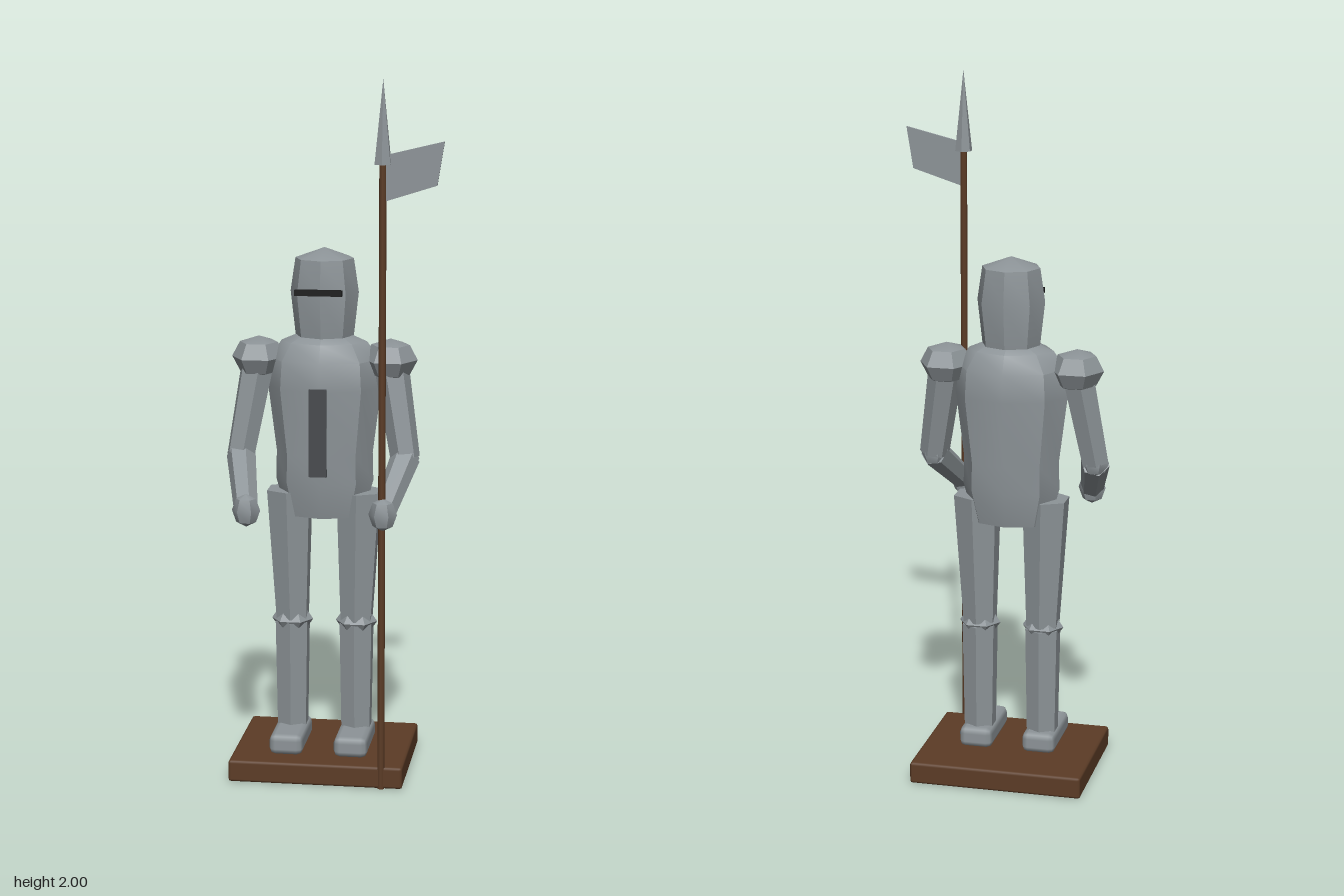
import * as THREE from 'three';
import { toCreasedNormals } from 'three/addons/utils/BufferGeometryUtils.js';
import { RoundedBoxGeometry } from 'three/addons/geometries/RoundedBoxGeometry.js';

const material = (name, color, side = THREE.FrontSide) => {
  const m = new THREE.MeshStandardMaterial({ color, side });
  m.name = name;
  return m;
};

export function createModel() {
  const steel = material('steel', 0x8d9498);
  const wood = material('wood', 0x5c3c26);
  const darkSteel = material('darkSteel', 0x484b4e);
  const black = material('black', 0x1b1b1b);

  const CX = -0.04; // centre line of the figure
  const CZ = -0.018;
  const model = new THREE.Group();
  model.name = 'armoredGuard';

  const add = (name, geometry, mat, x = 0, y = 0, z = 0, parent = model) => {
    const mesh = new THREE.Mesh(geometry, mat);
    mesh.name = name;
    mesh.position.set(x, y, z);
    parent.add(mesh);
    return mesh;
  };
  const crease = (g) => toCreasedNormals(g, 0.7);
  // Eight-sided turned shape, squashed front to back
  const turned = (points, depth) => crease(
    new THREE.LatheGeometry(points.map(([r, y]) => new THREE.Vector2(r, y)), 8).scale(1, 1, depth));
  // Six-sided faceted ball
  const ball = (rx, ry, rz, rows = 4) => crease(new THREE.SphereGeometry(1, 6, rows).scale(rx, ry, rz));
  // Tapered six-sided limb between two points
  const limb = (name, from, to, r0, r1, parent) => {
    const a = new THREE.Vector3(...from), b = new THREE.Vector3(...to);
    const dir = b.clone().sub(a);
    const mid = a.clone().add(b).multiplyScalar(0.5);
    const mesh = add(name, crease(new THREE.CylinderGeometry(r1, r0, dir.length(), 6)), steel,
      mid.x, mid.y, mid.z, parent);
    mesh.quaternion.setFromUnitVectors(new THREE.Vector3(0, 1, 0), dir.normalize());
  };

  // Base
  add('base', new RoundedBoxGeometry(0.5, 0.063, 0.415, 1, 0.008), wood, CX, 0.0315, -0.018);

  // Torso and breastplate strip
  add('torso', turned([[0, 0.745], [0.113, 0.75], [0.14, 0.85], [0.138, 0.93], [0.162, 1.12],
    [0.156, 1.2], [0.122, 1.25], [0.08, 1.268], [0, 1.272]], 0.71), steel, CX, 0, CZ);
  add('chestStrip', new THREE.BoxGeometry(0.05, 0.25, 0.009), darkSteel, CX - 0.003, 1.005, 0.0975);

  // Helmet with visor slit
  add('helmet', turned([[0, 1.265], [0.083, 1.266], [0.097, 1.39], [0.083, 1.485], [0, 1.515]], 0.97),
    steel, CX, 0, -0.022);
  add('visor', new THREE.BoxGeometry(0.134, 0.016, 0.018), black, CX - 0.003, 1.4, 0.082);

  // Arms and legs, mirrored about the centre line
  for (const [label, s] of [['left', 1], ['right', -1]]) {
    const arm = new THREE.Group();
    arm.name = label + 'Arm';
    model.add(arm);
    const shoulder = [CX + s * 0.188, 1.2, CZ];
    const elbow = [CX + s * 0.235, 0.925, 0.018];
    const hand = [CX + s * 0.192, 0.8, 0.188];
    add('pauldron', ball(0.077, 0.06, 0.082), steel, ...shoulder, arm);
    limb('upperArm', shoulder, elbow, 0.05, 0.042, arm);
    add('elbow', ball(0.04, 0.04, 0.04), steel, ...elbow, arm);
    limb('forearm', elbow, hand, 0.042, 0.034, arm);
    add('hand', ball(0.04, 0.047, 0.037), steel, ...hand, arm);

    const leg = new THREE.Group();
    leg.name = label + 'Leg';
    model.add(leg);
    const x = CX + s * 0.093;
    limb('thigh', [x, 0.44, -0.014], [x + s * 0.007, 0.82, -0.014], 0.05, 0.07, leg);
    add('knee', ball(0.06, 0.036, 0.056), steel, x, 0.435, -0.012, leg);
    limb('shin', [x, 0.1, -0.014], [x, 0.43, -0.014], 0.047, 0.053, leg);
    add('foot', new RoundedBoxGeometry(0.097, 0.06, 0.213, 1, 0.018), steel, x, 0.095, 0.026, leg);
  }

  // Lance with pennant
  const lance = new THREE.Group();
  lance.name = 'lance';
  lance.position.set(0.149, 0, 0.184);
  model.add(lance);
  add('pole', new THREE.CylinderGeometry(0.01, 0.01, 1.79, 8), wood, 0, 0.895, 0, lance);
  add('spearhead', crease(new THREE.ConeGeometry(0.025, 0.23, 6)), steel, 0, 1.885, 0, lance);
  const flag = new THREE.Shape([[0.006, 1.67], [0.148, 1.715], [0.167, 1.834], [0.006, 1.795]]
    .map(([x, y]) => new THREE.Vector2(x, y)));
  add('pennant', new THREE.ExtrudeGeometry(flag, { depth: 0.007, bevelEnabled: false }), steel,
    0, 0, -0.0035, lance);

  return model;
}
